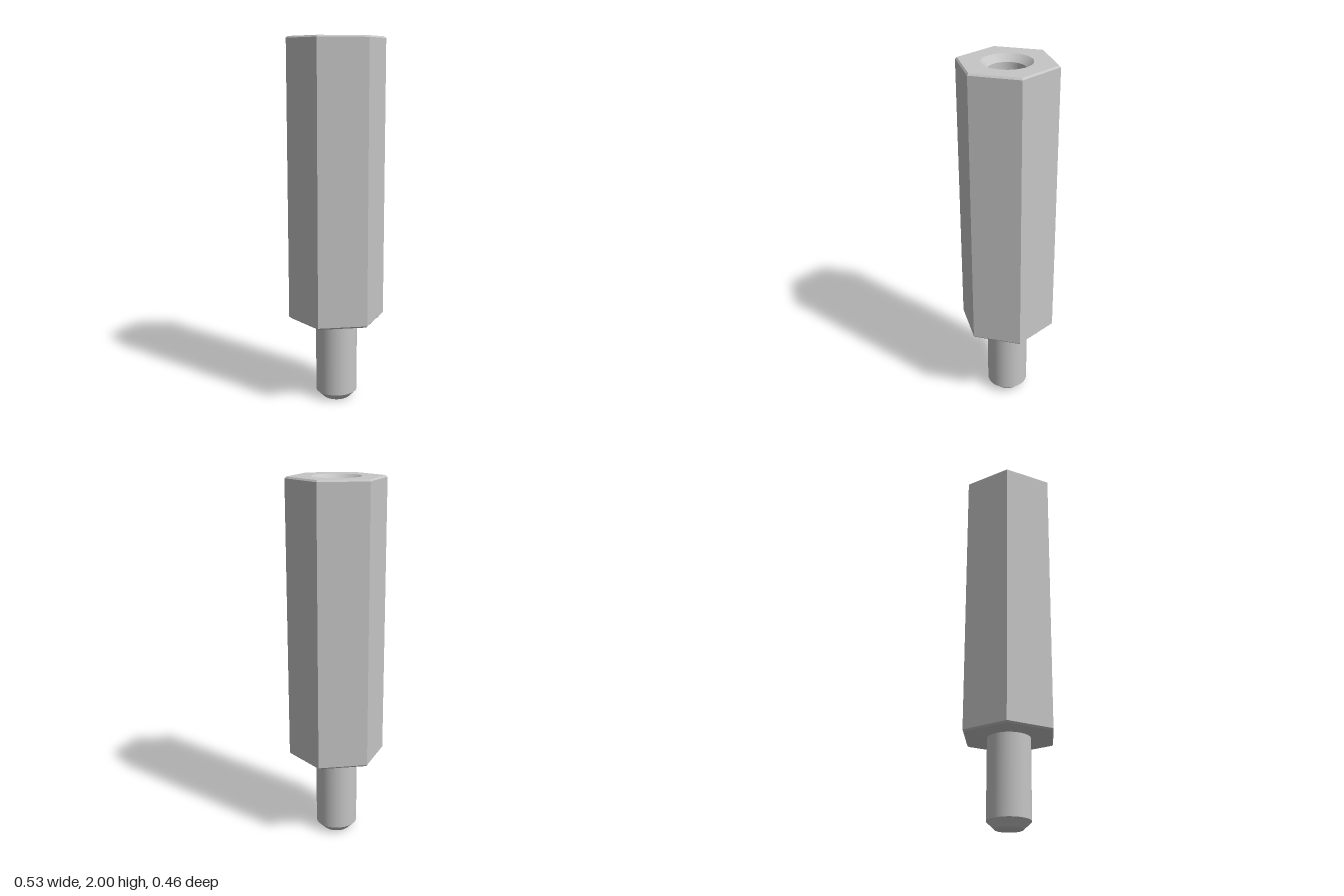
import * as THREE from 'three';
import { mergeGeometries } from 'three/addons/utils/BufferGeometryUtils.js';

const HEX_R = 0.266, HEX_BOTTOM = 0.47, TOP = 2, BEVEL = 0.009;
const STUD_R = 0.115, HOLE_R = 0.096, SINK_R = 0.131, HOLE_DEPTH = 0.7;
const ROUND = 64;

// Revolves each profile segment separately, so edges between bands stay sharp.
function bands(profile, sides) {
  const parts = [];
  for (let i = 0; i < profile.length - 1; i++) {
    const points = [profile[i], profile[i + 1]].map(([r, y]) => new THREE.Vector2(r, y));
    parts.push(new THREE.LatheGeometry(points, sides, Math.PI / 2));
  }
  return mergeGeometries(parts);
}

export function createModel() {
  const group = new THREE.Group();
  const metal = new THREE.MeshStandardMaterial({ color: 0xc6c6c6 });
  metal.name = 'grey metal';

  const add = (name, geometry) => {
    const mesh = new THREE.Mesh(geometry, metal);
    mesh.name = name;
    group.add(mesh);
    return mesh;
  };

  // Six-sided body with small bevels at both ends
  const inner = HEX_R - BEVEL;
  const body = bands([
    [0, HEX_BOTTOM], [inner, HEX_BOTTOM], [HEX_R, HEX_BOTTOM + BEVEL],
    [HEX_R, TOP - BEVEL], [inner, TOP],
  ], 6).toNonIndexed();
  body.computeVertexNormals();
  add('hexBody', body);

  // Top face with the round opening
  const face = new THREE.Shape();
  for (let i = 0; i < 6; i++) {
    const a = i * Math.PI / 3;
    face[i ? 'lineTo' : 'moveTo'](inner * Math.cos(a), inner * Math.sin(a));
  }
  face.closePath();
  face.holes.push(new THREE.Path().absarc(0, 0, SINK_R, 0, Math.PI * 2, true));
  const topFace = new THREE.ShapeGeometry(face, ROUND / 2);
  topFace.rotateX(-Math.PI / 2);
  add('topFace', topFace).position.y = TOP;

  // Countersunk blind hole, profile running downwards so it faces inwards
  add('threadHole', bands([
    [SINK_R, TOP], [HOLE_R, TOP - (SINK_R - HOLE_R)],
    [HOLE_R, TOP - HOLE_DEPTH], [0, TOP - HOLE_DEPTH],
  ], ROUND));

  // Round stud with a chamfered tip
  add('stud', bands([
    [0, 0], [0.075, 0], [STUD_R, 0.04], [STUD_R, HEX_BOTTOM],
  ], ROUND));

  return group;
}
